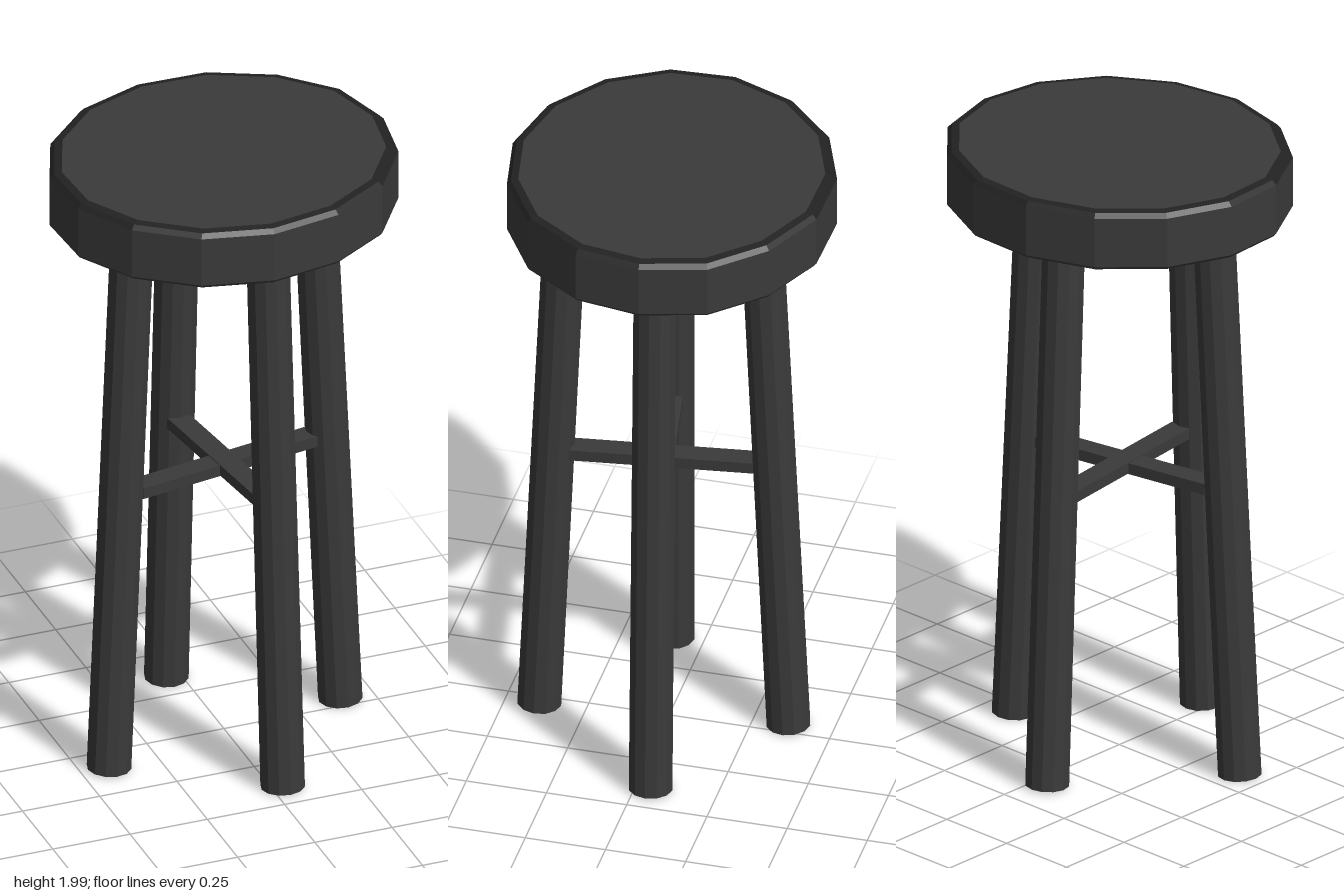
import * as THREE from 'three';

// Fifteen-sided seat outline as [x, z]
const OUTLINE = [
  [-0.09, -0.5], [0.135, -0.495], [0.335, -0.4], [0.48, -0.247], [0.535, -0.046],
  [0.503, 0.158], [0.38, 0.34], [0.192, 0.455], [-0.03, 0.495], [-0.247, 0.445],
  [-0.422, 0.316], [-0.526, 0.135], [-0.537, -0.07], [-0.457, -0.267], [-0.3, -0.42],
];

// Joins scaled copies of the outline; each ring is [height, scale], scale 0 closes the end
function loft(rings) {
  const positions = [];
  const point = (i, [y, s]) => {
    const [x, z] = OUTLINE[i % OUTLINE.length];
    return [x * s, y, z * s];
  };
  for (let r = 0; r < rings.length - 1; r++) {
    const low = rings[r], high = rings[r + 1];
    for (let i = 0; i < OUTLINE.length; i++) {
      const a0 = point(i, low), b0 = point(i + 1, low);
      const a1 = point(i, high), b1 = point(i + 1, high);
      if (low[1] > 0) positions.push(...a0, ...a1, ...b0);
      if (high[1] > 0) positions.push(...b0, ...a1, ...b1);
    }
  }
  const geometry = new THREE.BufferGeometry();
  geometry.setAttribute('position', new THREE.Float32BufferAttribute(positions, 3));
  geometry.computeVertexNormals();
  return geometry;
}

export function createModel() {
  const group = new THREE.Group();
  const charcoal = new THREE.MeshStandardMaterial({ color: 0x3a3a3a, flatShading: true, side: THREE.DoubleSide });
  charcoal.name = 'charcoal';
  const darkEdge = new THREE.MeshStandardMaterial({ color: 0x222222, flatShading: true });
  darkEdge.name = 'dark edge';

  const add = (name, geometry, material) => {
    const mesh = new THREE.Mesh(geometry, material);
    mesh.name = name;
    group.add(mesh);
    return mesh;
  };

  // Seat slab, with a worn dark rim around the flat top
  add('seat', loft([[1.812, 0], [1.812, 0.985], [1.822, 1], [1.982, 1]]), charcoal);
  add('seatRim', loft([[1.982, 1], [1.996, 0.975], [2, 0.93]]), darkEdge);
  add('seatTop', loft([[2, 0.93], [2, 0]]), charcoal);

  // Splayed open tube legs: [name, foot x, foot z, top x, top z]
  const legs = [
    ['frontLeg', 0.035, 0.395, 0.018, 0.317],
    ['backLeg', -0.045, -0.36, -0.037, -0.278],
    ['leftLeg', 0.395, -0.047, 0.307, -0.037],
    ['rightLeg', -0.41, 0.097, -0.325, 0.072],
  ];
  for (const [name, fx, fz, tx, tz] of legs) {
    const foot = new THREE.Vector3(fx, 0.01, fz);
    const top = new THREE.Vector3(tx, 1.82, tz);
    const axis = top.clone().sub(foot);
    const leg = add(name, new THREE.CylinderGeometry(0.066, 0.068, axis.length(), 12, 1, true), charcoal);
    leg.position.copy(foot).lerp(top, 0.5);
    leg.quaternion.setFromUnitVectors(new THREE.Vector3(0, 1, 0), axis.normalize());
  }

  // Crossed flat braces between opposite legs
  const sideBrace = add('sideBrace', new THREE.BoxGeometry(0.63, 0.036, 0.07), charcoal);
  sideBrace.position.set(0, 0.938, 0.02);
  sideBrace.rotation.y = 0.176;
  const frontBackBrace = add('frontBackBrace', new THREE.BoxGeometry(0.07, 0.036, 0.6), charcoal);
  frontBackBrace.position.set(-0.01, 0.941, 0.003);
  frontBackBrace.rotation.y = 0.13;

  return group;
}
